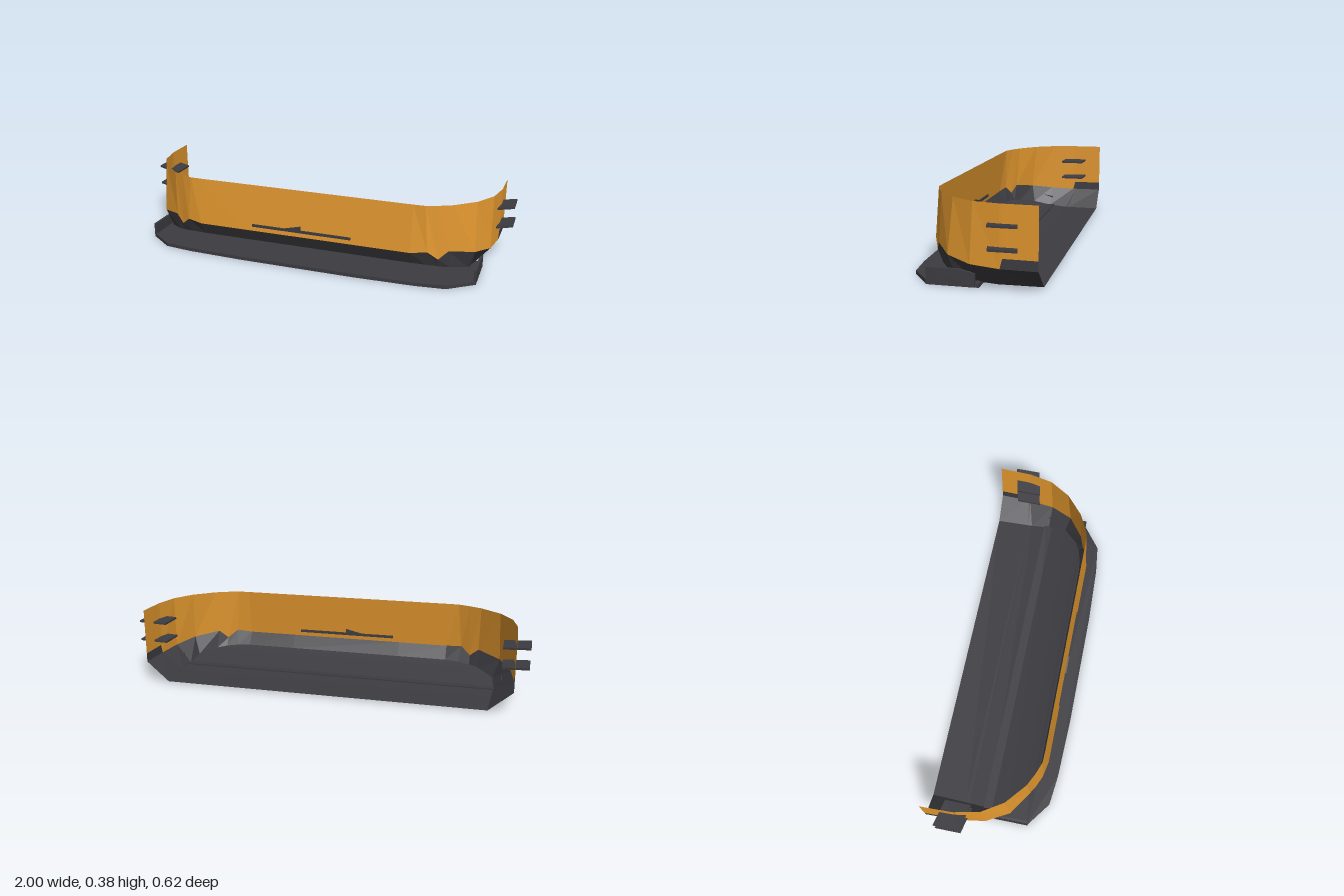
import * as THREE from 'three';

const paint = new THREE.MeshStandardMaterial({ color: 0xe0962e, flatShading: true, side: THREE.DoubleSide });
const dark = new THREE.MeshStandardMaterial({ color: 0x3d3c41, flatShading: true, side: THREE.DoubleSide });

// Half outlines run from the middle of the nose to the rear edge of the left side: [x, y, z]
const topEdge = [
  [0.3, 0.38, 0.215], [0.56, 0.38, 0.215], [0.62, 0.38, 0.213], [0.68, 0.38, 0.19], [0.74, 0.38, 0.16],
  [0.84, 0.38, 0.075], [0.905, 0.38, -0.03], [0.93, 0.38, -0.15], [0.931, 0.38, -0.162], [0.935, 0.38, -0.315],
];
const paintEdge = [
  [0.3, 0.14, 0.24], [0.56, 0.14, 0.24], [0.64, 0.15, 0.225], [0.69, 0.108, 0.2], [0.735, 0.15, 0.178],
  [0.85, 0.13, 0.1], [0.91, 0.112, -0.015], [0.93, 0.105, -0.15], [0.931, 0.15, -0.162], [0.935, 0.15, -0.315],
];
const sideCrease = paintEdge.map(([x, y, z], i) => [x, i > 7 ? 0.105 : y, z]);
const floorEdge = [
  [0.3, 0.072, 0.203], [0.56, 0.072, 0.203], [0.63, 0.07, 0.195], [0.69, 0.064, 0.18], [0.74, 0.056, 0.155],
  [0.82, 0.035, 0.08], [0.83, 0.014, -0.02], [0.826, 0.006, -0.12], [0.825, 0.006, -0.14], [0.82, 0.006, -0.315],
];

const flip = ([x, y, z]) => [-x, y, z];
const fullRow = (half) => [...half.map(flip).reverse(), ...half];

// Skin stretched over successive rows of points
function loft(name, rows, material) {
  const pos = [];
  for (let r = 0; r + 1 < rows.length; r++) {
    for (let i = 0; i + 1 < rows[r].length; i++) {
      const a = rows[r][i], b = rows[r][i + 1], c = rows[r + 1][i], d = rows[r + 1][i + 1];
      pos.push(...a, ...c, ...d, ...a, ...d, ...b);
    }
  }
  const g = new THREE.BufferGeometry();
  g.setAttribute('position', new THREE.Float32BufferAttribute(pos, 3));
  g.computeVertexNormals();
  const mesh = new THREE.Mesh(g, material);
  mesh.name = name;
  return mesh;
}

const shapeOf = (pts) => new THREE.Shape(pts.map(([x, y]) => new THREE.Vector2(x, y)));
const extrude = (pts, depth) => new THREE.ExtrudeGeometry(shapeOf(pts), { depth, bevelEnabled: false });

function part(name, geometry) {
  const mesh = new THREE.Mesh(geometry, dark);
  mesh.name = name;
  return mesh;
}

// Slanted, slightly raised winglet on the side
function winglet(side, y) {
  const g = extrude([[0.87, -0.085], [1, -0.115], [1, -0.242], [0.87, -0.212]], 0.01);
  g.rotateX(Math.PI / 2);
  const p = g.attributes.position;
  for (let i = 0; i < p.count; i++) {
    const x = p.getX(i);
    p.setXYZ(i, x, y + p.getY(i) + (x - 0.87) * 0.115, -0 + p.getZ(i));
  }
  g.computeVertexNormals();
  const mesh = part(side > 0 ? 'leftWinglet' : 'rightWinglet', g);
  mesh.scale.x = side;
  return mesh;
}

export function createModel() {
  const model = new THREE.Group();
  model.name = 'frontBumper';

  // Wraparound shell and its unpainted lower band
  model.add(loft('paintedShell', [fullRow(topEdge), fullRow(paintEdge)], paint));
  model.add(loft('lowerBand', [fullRow(paintEdge), fullRow(sideCrease), fullRow(floorEdge)], dark));

  // Undertray joins the two lower edges
  model.add(loft('undertray', floorEdge.slice(1).map((p) => [flip(p), p]), dark));

  // Splitter slab
  const half = [[0.3, 0.31], [0.6, 0.3], [0.75, 0.283], [0.875, 0.19], [0.875, -0.045]];
  const outline = [...half.map(([x, z]) => [-x, z]).reverse(), ...half];
  const slab = extrude(outline, 0.018);
  slab.rotateX(Math.PI / 2).translate(0, 0.018, 0);
  model.add(part('splitter', slab));

  // End plates and side winglets
  for (const side of [1, -1]) {
    const plate = extrude([[-0.192, 0], [-0.192, 0.077], [-0.05, 0.077], [0.028, 0.062], [0.028, 0]], 0.012);
    plate.rotateY(Math.PI / 2).translate(side > 0 ? 0.865 : -0.877, 0, 0);
    model.add(part(side > 0 ? 'leftEndPlate' : 'rightEndPlate', plate));
    for (const y of [0.29, 0.191]) model.add(winglet(side, y));
  }

  // Thin trim strip through the nose with a small raised wedge
  const trim = extrude([[-0.265, 0.163], [0.26, 0.163], [0.26, 0.176], [-0.002, 0.176], [-0.002, 0.197], [-0.09, 0.176], [-0.265, 0.176]], 0.014);
  trim.translate(0, 0, 0.229);
  model.add(part('noseTrim', trim));

  return model;
}
